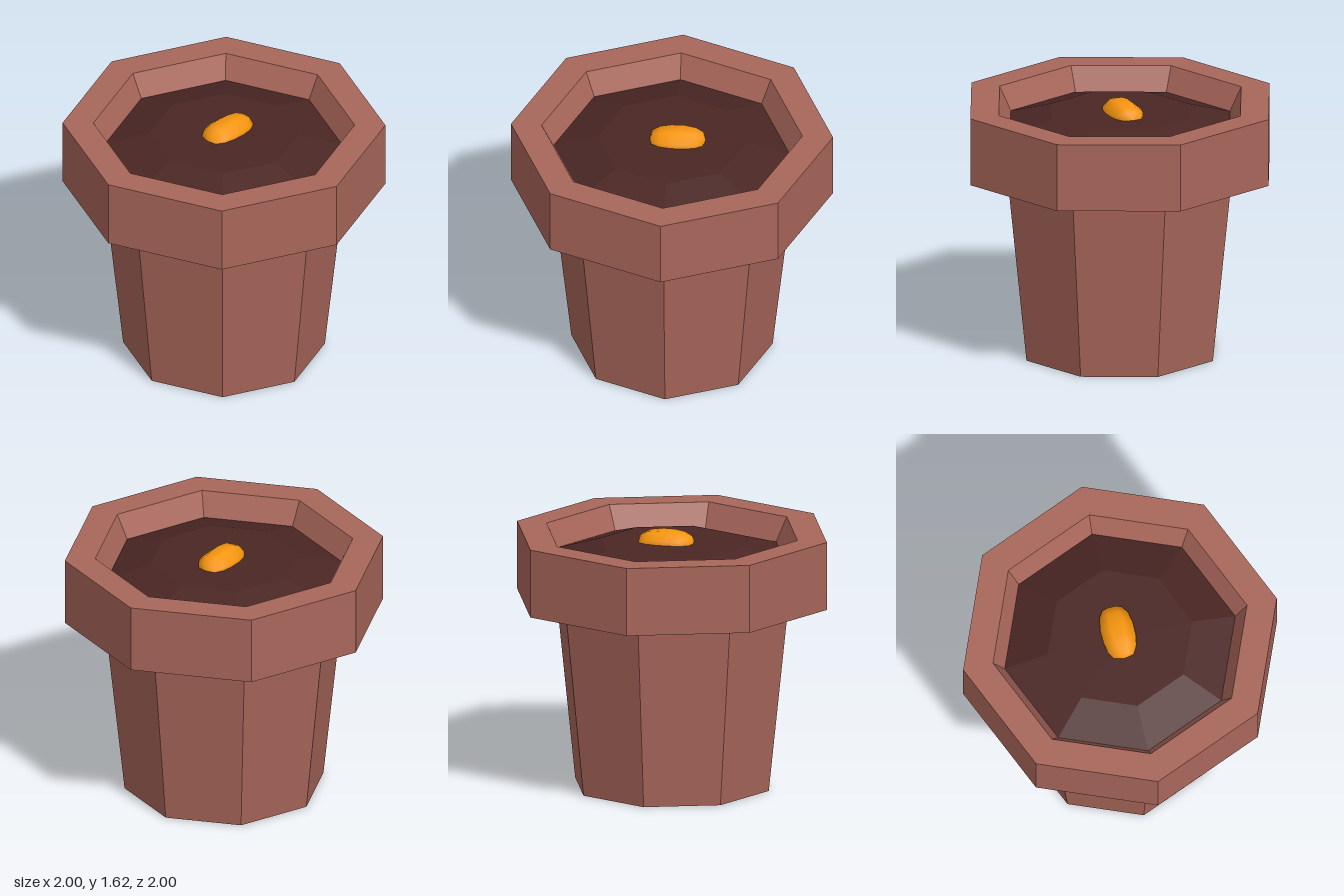
import * as THREE from 'three';

const SIDES = 8;

function lathePart(name, profile, color, flatShading = true) {
  const points = profile.map(([r, y]) => new THREE.Vector2(r, y));
  const mesh = new THREE.Mesh(
    new THREE.LatheGeometry(points, SIDES),
    new THREE.MeshStandardMaterial({ color, flatShading })
  );
  mesh.name = name;
  return mesh;
}

export function createModel() {
  const group = new THREE.Group();
  group.name = 'plantPot';

  // Tapered octagonal pot with a thick overhanging rim
  group.add(lathePart('pot', [
    [0, 0], [0.625, 0], [0.75, 1.18], [1, 1.18],
    [1, 1.61], [0.81, 1.61], [0.735, 1.46],
  ], 0xa8665a));

  // Soil: gently mounded towards the middle
  group.add(lathePart('soil', [[0.735, 1.46], [0.46, 1.54], [0, 1.545]], 0x4a2624));

  // Seed: blunt elongated kernel lying along z, half sunk in the soil
  const seed = lathePart('seed', [
    [0, -0.175], [0.065, -0.16], [0.095, -0.11], [0.108, -0.04],
    [0.108, 0.04], [0.095, 0.11], [0.065, 0.16], [0, 0.175],
  ], 0xf7960f, false);
  seed.geometry.rotateY(Math.PI / SIDES);
  seed.geometry.rotateX(Math.PI / 2);
  seed.geometry.scale(1.04, 0.85, 1);
  seed.geometry.computeVertexNormals();
  seed.position.set(-0.005, 1.535, -0.035);
  group.add(seed);

  return group;
}
